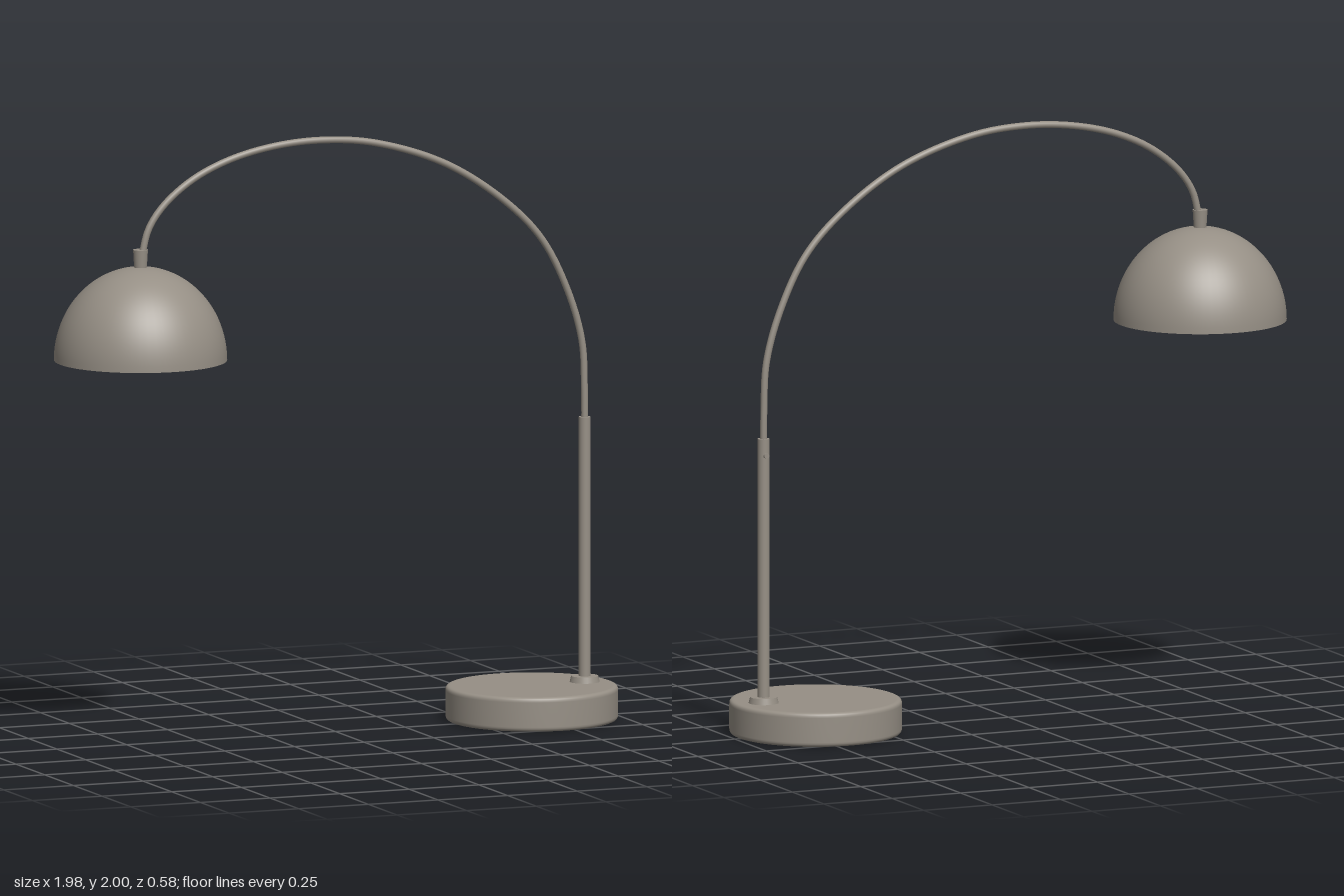
import * as THREE from 'three';

const BASE_X = 0.705, POLE_X = 0.895, SHADE_X = -0.7;

const lathe = (pairs, segments, material) =>
  new THREE.Mesh(
    new THREE.LatheGeometry(pairs.map(([r, y]) => new THREE.Vector2(r, y)), segments),
    material
  );

export function createModel() {
  const lamp = new THREE.Group();
  lamp.name = 'arcFloorLamp';

  const metal = new THREE.MeshStandardMaterial({ color: 0x968f85 });
  metal.name = 'warmGreyMetal';
  metal.side = THREE.DoubleSide;

  const add = (name, mesh, x, y = 0, z = 0) => {
    mesh.name = name;
    mesh.position.set(x, y, z);
    lamp.add(mesh);
    return mesh;
  };
  const cylinder = (rTop, rBottom, height, sides = 24) =>
    new THREE.Mesh(new THREE.CylinderGeometry(rTop, rBottom, height, sides), metal);

  // Heavy round base: a disc with a rounded rim
  const disc = new THREE.Shape();
  const R = 0.287, H = 0.115, b = 0.016;
  disc.moveTo(0, 0);
  disc.lineTo(R - b, 0);
  disc.quadraticCurveTo(R, 0, R, b);
  disc.lineTo(R, H - b);
  disc.quadraticCurveTo(R, H, R - b, H);
  const rim = disc.getPoints(5).slice(1).map((p) => [p.x, p.y]);
  add('baseRim', lathe(rim, 64, metal), BASE_X);
  for (const [name, y, turn] of [['baseTop', H, -1], ['baseUnderside', 0, 1]]) {
    const cap = new THREE.Mesh(new THREE.CircleGeometry(R - b, 64), metal);
    cap.rotation.x = turn * Math.PI / 2;
    add(name, cap, BASE_X, y);
  }

  // Upright pole with its flange and a small clamping screw
  add('poleFlange', cylinder(0.045, 0.05, 0.02, 32), POLE_X, 0.125);
  add('pole', cylinder(0.02, 0.02, 0.885), POLE_X, 0.5625);
  const screw = add('clampScrew', cylinder(0.009, 0.009, 0.014, 12), POLE_X, 0.95, -0.02);
  screw.rotation.x = Math.PI / 2;

  // Arching arm from the pole over to the shade
  const path = [
    [0.895, 0.97], [0.894, 1.1], [0.885, 1.26], [0.835, 1.43], [0.742, 1.61],
    [0.61, 1.745], [0.395, 1.885], [0.14, 1.97], [-0.055, 1.99], [-0.23, 1.978],
    [-0.39, 1.94], [-0.52, 1.88], [-0.62, 1.80], [-0.672, 1.725], [-0.695, 1.64],
  ].map(([x, y]) => new THREE.Vector3(x, y, 0));
  const arm = new THREE.TubeGeometry(new THREE.CatmullRomCurve3(path), 96, 0.0115, 12);
  add('arm', new THREE.Mesh(arm, metal), 0);

  // Collar joining the arm and the shade
  add('shadeCollar', cylinder(0.025, 0.021, 0.065), SHADE_X, 1.6275);

  // Open domed shade
  const dome = [];
  for (let i = 0; i <= 24; i++) {
    const a = (i / 24) * Math.PI / 2;
    dome.push([0.288 * Math.cos(a), 1.29 + 0.312 * Math.sin(a)]);
  }
  add('shade', lathe(dome, 64, metal), SHADE_X);

  return lamp;
}
